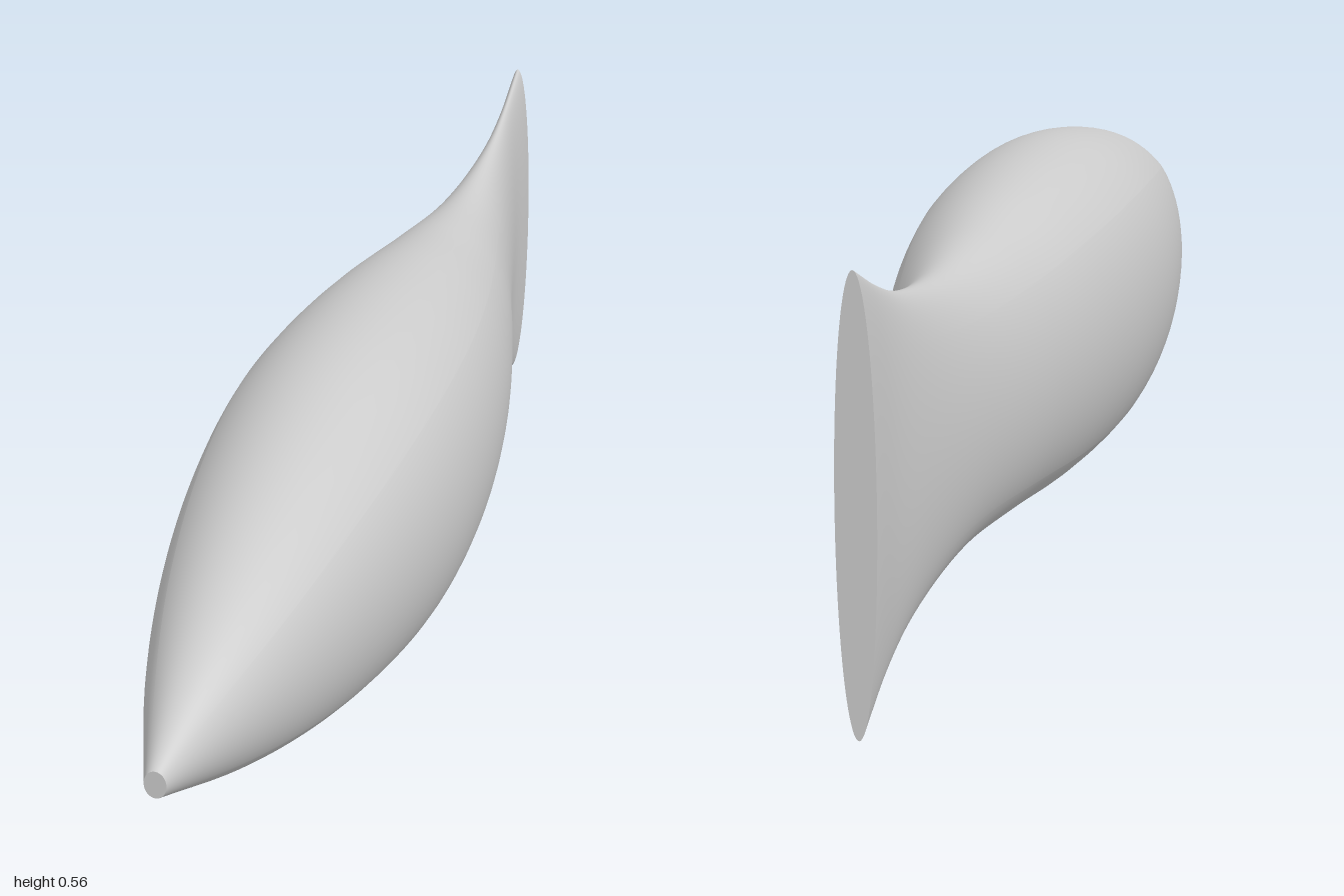
import * as THREE from 'three';
import { ParametricGeometry } from 'three/addons/geometries/ParametricGeometry.js';

// Cross-sections from tail to nose: half width, half height, z
const sections = new THREE.CatmullRomCurve3([
  [0.025, 0.280, -1], [0.028, 0.240, -0.9], [0.042, 0.211, -0.8], [0.080, 0.189, -0.6],
  [0.125, 0.201, -0.4], [0.161, 0.223, -0.2], [0.182, 0.235, 0], [0.185, 0.232, 0.2],
  [0.167, 0.206, 0.4], [0.132, 0.163, 0.6], [0.081, 0.100, 0.8], [0.014, 0.018, 1],
].map((p) => new THREE.Vector3(...p)));

const CENTRE_Y = 0.281;
const R = Math.SQRT1_2;
const p = new THREE.Vector3();

// One of four side panels; panels meet in soft ridges that fade at the ends
function panelGeometry(quarter) {
  const surface = (u, v, target) => {
    sections.getPoint(v, p);
    const ridge = THREE.MathUtils.smoothstep(p.z, -0.95, 0)
      * (1 - THREE.MathUtils.smoothstep(p.z, 0.7, 1));
    const kx = R + 0.063 * ridge; // ridge position as a share of the half width
    const ky = R - 0.029 * ridge; // and of the half height
    const angle = (quarter + u - 0.5) * Math.PI / 2;
    const c = Math.cos(angle), s = Math.sin(angle);
    // along: runs between two ridges; bulge: rises from the ridge to the full radius
    const along = (t, k) => t * k / R;
    const bulge = (t, k) => Math.sign(t) * (1 - (1 - Math.abs(t)) * (1 - k) / (1 - R));
    const isSide = quarter % 2 === 0;
    const x = isSide ? bulge(c, kx) : along(c, kx);
    const y = isSide ? along(s, ky) : bulge(s, ky);
    target.set(p.x * x, CENTRE_Y + p.y * y, p.z);
  };
  return new ParametricGeometry(surface, 20, 80);
}

export function createModel() {
  const model = new THREE.Group();
  model.name = 'fishBody';
  const material = new THREE.MeshStandardMaterial({ color: 0xcccccc });

  // Body skin
  ['leftSide', 'back', 'rightSide', 'belly'].forEach((name, quarter) => {
    const panel = new THREE.Mesh(panelGeometry(quarter), material);
    panel.name = name;
    model.add(panel);
  });

  // Flat elliptical ends
  const addCap = (name, v, turn) => {
    const end = sections.getPoint(v);
    const cap = new THREE.Mesh(new THREE.CircleGeometry(1, 80), material);
    cap.name = name;
    cap.scale.set(end.x, end.y, 1);
    cap.rotation.y = turn;
    cap.position.set(0, CENTRE_Y, end.z);
    model.add(cap);
  };
  addCap('tailEnd', 0, Math.PI);
  addCap('noseTip', 1, 0);

  return model;
}
